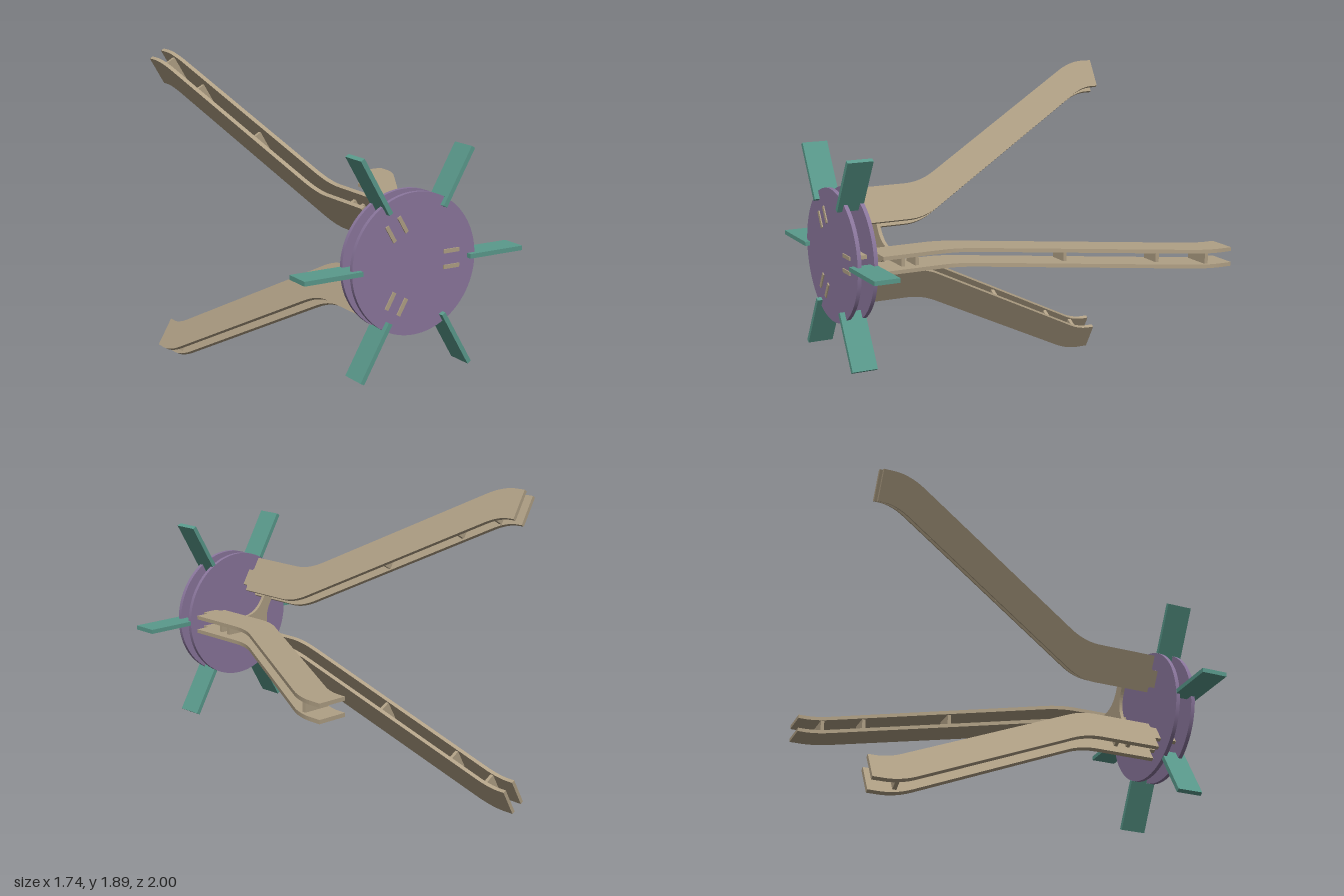
import * as THREE from 'three';

const tan = new THREE.MeshStandardMaterial({ color: 0xb0a085 });
const purple = new THREE.MeshStandardMaterial({ color: 0x8a769c });
const teal = new THREE.MeshStandardMaterial({ color: 0x5a9a8c });

function add(parent, name, geometry, material, x = 0, y = 0, z = 0) {
  const mesh = new THREE.Mesh(geometry, material);
  mesh.name = name;
  mesh.position.set(x, y, z);
  parent.add(mesh);
  return mesh;
}

// Flat panel drawn as (radius, z), lying in the x-z plane and centred on y = 0
function radialPanel(shape, thickness) {
  return new THREE.ExtrudeGeometry(shape, { depth: thickness, bevelEnabled: false, curveSegments: 10 })
    .translate(0, 0, -thickness / 2)
    .rotateX(Math.PI / 2);
}

// Swept leg outline with rounded bends and a tab that passes through the discs
function legShape() {
  const s = new THREE.Shape();
  s.moveTo(0.18, 0.976);
  s.lineTo(0.18, 0.825);
  s.quadraticCurveTo(0.18, 0.81, 0.165, 0.81);
  s.lineTo(0.147, 0.81);
  s.lineTo(0.147, 0.47);
  s.quadraticCurveTo(0.147, 0.378, 0.2, 0.287);
  s.lineTo(0.838, -0.812);
  s.quadraticCurveTo(0.885, -0.893, 0.885, -0.965);
  s.lineTo(0.885, -1);
  s.lineTo(1.061, -1);
  s.lineTo(1.061, -0.94);
  s.quadraticCurveTo(1.061, -0.851, 1.004, -0.752);
  s.lineTo(0.423, 0.255);
  s.quadraticCurveTo(0.365, 0.355, 0.365, 0.455);
  s.lineTo(0.365, 0.81);
  s.lineTo(0.295, 0.81);
  s.quadraticCurveTo(0.28, 0.81, 0.28, 0.825);
  s.lineTo(0.28, 0.976);
  s.closePath();
  return s;
}

// Fin outline with slots that grip the rims of both discs
function finShape() {
  const pts = [[0.335, 1], [0.335, 0.97], [0.384, 0.97], [0.384, 0.946], [0.335, 0.946],
    [0.335, 0.874], [0.384, 0.874], [0.384, 0.85], [0.68, 0.85], [0.68, 1]];
  return new THREE.Shape(pts.map(([r, z]) => new THREE.Vector2(r, z)));
}

// Three-armed brace with concave sides
function braceShape() {
  const s = new THREE.Shape();
  const point = (a, r, t) => [r * Math.cos(a) - t * Math.sin(a), r * Math.sin(a) + t * Math.cos(a)];
  for (let i = 0; i < 3; i++) {
    const a = i * Math.PI * 2 / 3;
    if (i === 0) s.moveTo(...point(a, 0.3, -0.032));
    else s.lineTo(...point(a, 0.3, -0.032));
    s.lineTo(...point(a, 0.3, 0.032));
    s.lineTo(...point(a, 0.12, 0.032));
    const b = a + Math.PI * 2 / 3;
    s.quadraticCurveTo(...point(a + Math.PI / 3, 0.037, 0), ...point(b, 0.12, -0.032));
  }
  s.closePath();
  return s;
}

export function createModel() {
  const model = new THREE.Group();
  model.name = 'model';
  const hub = new THREE.Group();
  hub.name = 'hub';
  hub.position.set(-0.19, 0.947, 0);
  model.add(hub);

  // Two round discs
  const disc = new THREE.CylinderGeometry(0.383, 0.383, 0.023, 96).rotateX(Math.PI / 2);
  add(hub, 'frontDisc', disc, purple, 0, 0, 0.958);
  add(hub, 'backDisc', disc, purple, 0, 0, 0.861);

  // Brace joining the legs behind the discs
  const brace = new THREE.ExtrudeGeometry(braceShape(), { depth: 0.021, bevelEnabled: false });
  add(hub, 'brace', brace, tan, 0, 0, 0.653);

  // Legs: paired plates with cross spacers [inner radius, outer radius, z]
  const plate = radialPanel(legShape(), 0.022);
  const spacers = [[0.19, 0.31, 0.585], [0.49, 0.61, -0.19], [0.75, 0.87, -0.635], [0.87, 1.03, -0.855]];
  for (let i = 0; i < 3; i++) {
    const leg = new THREE.Group();
    leg.name = 'leg' + (i + 1);
    leg.rotation.z = i * Math.PI * 2 / 3;
    hub.add(leg);
    for (const side of [-1, 1]) add(leg, 'legPlate', plate, tan, 0, side * 0.0425, 0);
    for (const [r0, r1, z] of spacers) {
      add(leg, 'legSpacer', new THREE.BoxGeometry(r1 - r0, 0.066, 0.021), tan, (r0 + r1) / 2, 0, z);
    }
  }

  // Six fins around the rim
  const fin = radialPanel(finShape(), 0.025);
  for (let i = 0; i < 6; i++) {
    add(hub, 'fin', fin, teal).rotation.z = i * Math.PI / 3;
  }
  return model;
}
